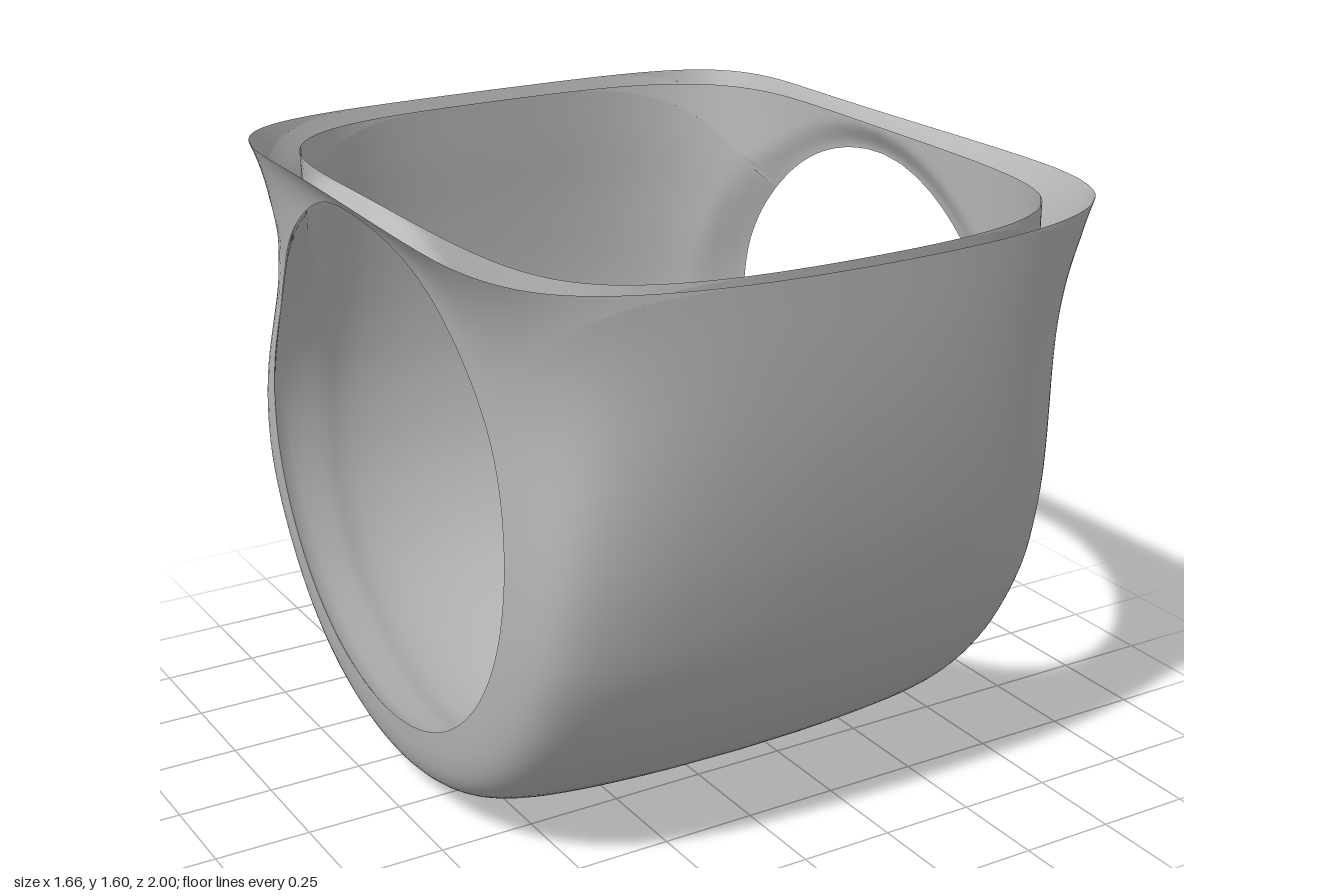
import * as THREE from 'three';
import { mergeVertices } from 'three/addons/utils/BufferGeometryUtils.js';

// Finger hole: centre in the z-y plane; the hole on the -x side is a little larger
const HZ = -0.08, HY = 0.905;
const holeRadius = (side) => (side > 0 ? 0.605 : 0.665);

// Profiles (z, y) from the front rim, under the hole, up to the back rim
const OUTER = [
  [1.0, 1.6], [0.975, 1.4], [0.943, 1.2], [0.9, 1.0], [0.845, 0.8], [0.762, 0.57], [0.63, 0.345],
  [0.45, 0.168], [0.2, 0.044], [-0.08, 0.0], [-0.33, 0.034], [-0.56, 0.132], [-0.75, 0.288],
  [-0.9, 0.5], [-0.98, 0.71], [-1.0, 0.92], [-0.975, 1.1], [-0.93, 1.28], [-0.895, 1.45], [-0.912, 1.6],
];
const INNER = [
  [0.915, 1.59], [0.88, 1.35], [0.835, 1.1], [0.78, 0.85], [0.695, 0.62], [0.565, 0.405], [0.385, 0.225],
  [0.15, 0.115], [-0.08, 0.09], [-0.3, 0.12], [-0.51, 0.215], [-0.69, 0.365], [-0.815, 0.57],
  [-0.875, 0.8], [-0.885, 1.0], [-0.865, 1.25], [-0.838, 1.45], [-0.822, 1.59],
];

const lerp = THREE.MathUtils.lerp;
const smooth = THREE.MathUtils.smoothstep;

// How far a direction from the hole points to the upper front or upper back
const frontness = (dz, dy) => smooth(dz, 0.3, 0.85) * smooth(dy, -0.4, 0.5);
const backness = (dz, dy) => smooth(-dz, 0.3, 0.8) * smooth(dy, -0.4, 0.4);

// Half width of the band, flaring towards the rim, most abruptly above the hole
function halfWidth(y, z) {
  const k = Math.max(0, (y - 0.95) / 0.65);
  const power = lerp(9, 4, smooth(Math.abs(z - HZ), 0.12, 0.7));
  return 0.737 + lerp(0.062, 0.095, smooth(z, -0.5, 0.6)) * Math.pow(k, power);
}

// Width of a rounded cross-section at radial fraction rho
const rounded = (rho, n) => Math.pow(Math.max(0, 1 - Math.pow(Math.min(1, rho), n)), 1 / n);

// Columns around the hole: end point relative to the hole, radial fraction there, roundness
function makeColumns(profile) {
  const pts = profile.map(([z, y]) => new THREE.Vector3(z - HZ, y - HY, 0));
  const curve = new THREE.CatmullRomCurve3(pts);
  const columns = [];
  const add = (p, rho) => {
    const d = p.clone().normalize();
    const f = frontness(d.x, d.y), b = backness(d.x, d.y);
    columns.push({ p, rho, n: profile === OUTER ? 9 - 4.1 * f - 3.5 * b : 4.6 - 0.8 * b });
  };
  const N = 110, M = 80;
  for (let i = 0; i <= N; i++) add(curve.getPointAt(i / N), 1);
  // Above the hole the side walls stop at the open rim
  const front = pts[0], back = pts[pts.length - 1];
  for (let i = 1; i <= M; i++) {
    const u = i / M;
    const a = Math.pow(u, 4), b = Math.pow(1 - u, 4);
    const p = back.clone().lerp(front, a / (a + b));
    const wall = p.x > 0 ? front.x : -back.x;
    add(p, i === M ? 1 : Math.max(0.01, Math.abs(p.x) / wall));
  }
  return columns;
}

// Shell from hole edge to hole edge, open along the rim
function shellGeometry(profile) {
  const lining = profile === INNER;
  const columns = makeColumns(profile);
  const outer = makeColumns(OUTER);
  const ROWS = 30;
  const pos = [], index = [];
  for (const side of [1, -1]) {
    const base = pos.length / 3;
    const HR = holeRadius(side);
    columns.forEach(({ p, rho, n }, i) => {
      const s1 = p.length(), dz = p.x / s1, dy = p.y / s1;
      const r0 = rho * HR / s1;
      const phi0 = Math.asin(Math.pow(r0, n / 2));
      const phi1 = Math.asin(Math.pow(rho, n / 2));
      // The hole edge is shared by both shells
      const o = outer[i];
      const edgeX = halfWidth(HY + dy * HR, HZ + dz * HR) * rounded(o.rho * HR / o.p.length(), o.n);
      // Bowing of the band across its width, strongest at the front
      const crown = 0.045 + 0.06 * frontness(dz, dy) - 0.01 * backness(dz, dy);
      for (let j = 0; j <= ROWS; j++) {
        const v = 1 - Math.pow(1 - j / ROWS, 2);
        const r = Math.pow(Math.sin(lerp(phi0, phi1, v)), 2 / n);
        const s = j === 0 ? HR : j === ROWS ? s1 : s1 * r / rho;
        let z = HZ + dz * s, y = HY + dy * s;
        let x;
        if (lining) x = lerp(edgeX, 0.725 * rounded(r, n), smooth(s, HR, Math.min(HR + 0.08, s1)));
        else x = halfWidth(y, z) * rounded(r, n);
        if (j === ROWS && rho === 1) x = 0;
        const bow = crown * Math.pow(x / 0.75, 2) * Math.pow(Math.max(0, (r - r0) / (1 - r0)), 3);
        z -= dz * bow;
        y -= Math.min(dy, 0) * bow;
        pos.push(side * x, y, z);
      }
    });
    const W = ROWS + 1;
    const flip = (side < 0) !== lining;
    for (let i = 0; i < columns.length - 1; i++) {
      for (let j = 0; j < ROWS; j++) {
        const a = base + i * W + j, b = a + 1, c = a + W, d = c + 1;
        if (flip) index.push(a, c, b, b, c, d);
        else index.push(a, b, c, b, d, c);
      }
    }
  }
  let geo = new THREE.BufferGeometry();
  geo.setAttribute('position', new THREE.Float32BufferAttribute(pos, 3));
  geo.setIndex(index);
  geo = mergeVertices(geo, 1e-4);
  geo.computeVertexNormals();
  return geo;
}

export function createModel() {
  const metal = new THREE.MeshStandardMaterial({ color: 0xb8b8b8, side: THREE.DoubleSide });
  metal.name = 'grey metal';

  const group = new THREE.Group();
  group.name = 'ring';

  const outerShell = new THREE.Mesh(shellGeometry(OUTER), metal);
  outerShell.name = 'outerBand';
  const innerShell = new THREE.Mesh(shellGeometry(INNER), metal);
  innerShell.name = 'innerLining';
  group.add(outerShell, innerShell);
  return group;
}
